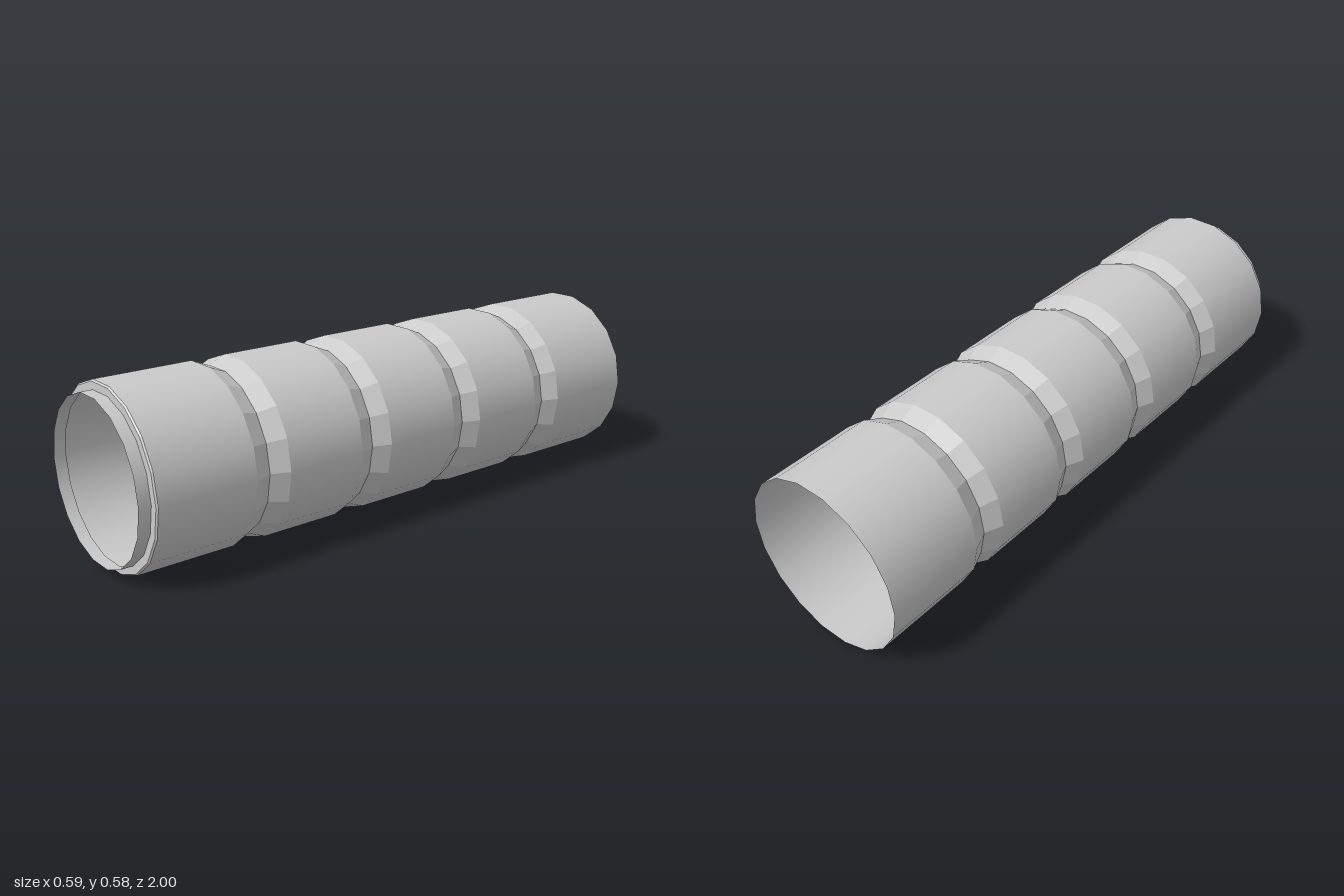
import * as THREE from 'three';

const SIDES = 18;
const R = 0.294;        // outer radius of the tube
const R_GROOVE = 0.269; // radius at the bottom of a groove
const R_LIP = 0.264;    // radius of the front lip
const HALF = 0.059;     // half width of a groove

const smooth = new THREE.MeshStandardMaterial({ color: 0xcccccc, side: THREE.DoubleSide });
const faceted = new THREE.MeshStandardMaterial({ color: 0xcccccc, side: THREE.DoubleSide, flatShading: true });

// Ring surface along z from a profile of [radius, z], ordered back to front
function ring(name, profile, material) {
  const points = profile.map(([r, z]) => new THREE.Vector2(r, z));
  const geometry = new THREE.LatheGeometry(points, SIDES, Math.PI / 2);
  geometry.rotateX(Math.PI / 2);
  const mesh = new THREE.Mesh(geometry, material);
  mesh.name = name;
  return mesh;
}

export function createModel() {
  const model = new THREE.Group();
  model.name = 'ribbedTube';

  // Tube sections with V-shaped grooves between them
  let back = -1;
  for (let i = 0; i < 4; i++) {
    const z = -0.603 + i * 0.391;
    model.add(ring('tubeSection', [[R, back], [R, z - HALF]], smooth));
    model.add(ring('groove', [[R, z - HALF], [R_GROOVE, z], [R, z + HALF]], faceted));
    back = z + HALF;
  }
  model.add(ring('tubeSection', [[R, back], [R, 0.955]], smooth));

  // Bevelled shoulder stepping in to the narrow front lip
  model.add(ring('shoulder', [[R, 0.955], [0.289, 0.96], [R_LIP, 0.96]], faceted));
  model.add(ring('frontLip', [[R_LIP, 0.96], [R_LIP, 1]], smooth));

  // Rest the flat bottom side on the ground
  model.children.forEach((part) => { part.position.y = R * Math.cos(Math.PI / SIDES); });
  return model;
}
